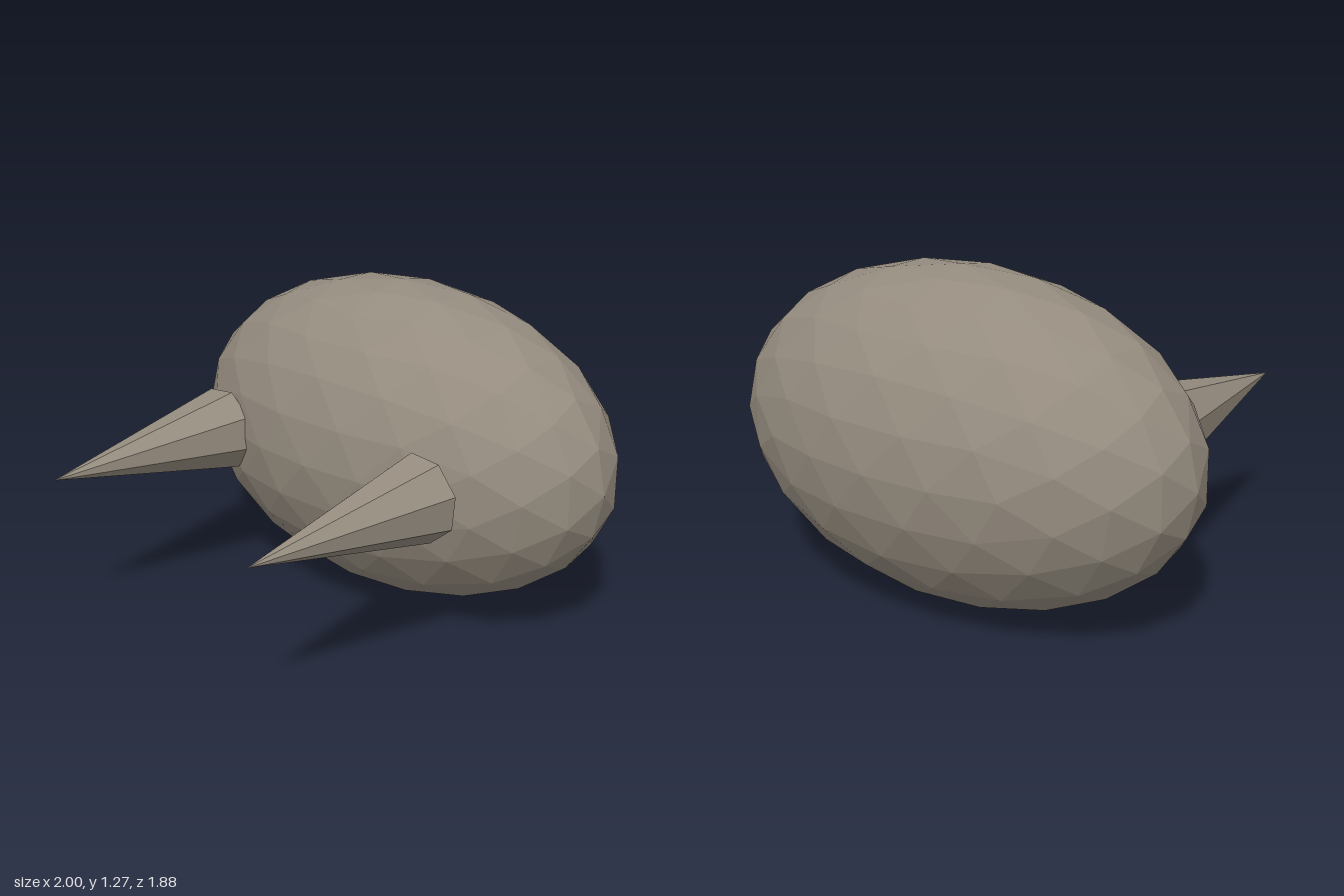
import * as THREE from 'three';

const stone = new THREE.MeshStandardMaterial({ color: 0x958c7f });
stone.name = 'warm grey';
stone.flatShading = true;

const CENTRE_Y = 0.635;

// Faceted ball: each icosahedron edge is halved twice, rounding after each pass
function makeBall() {
  const coarse = new THREE.IcosahedronGeometry(1, 1).getAttribute('position');
  const corners = Array.from(coarse.array);
  const faces = Array.from({ length: coarse.count }, (_, i) => i);
  return new THREE.PolyhedronGeometry(corners, faces, 1, 1);
}

// Eight-sided spike pointing forward, with a closed base
function makeSpike(side) {
  const geometry = new THREE.ConeGeometry(0.17, 0.84, 8).toNonIndexed();
  geometry.rotateX(Math.PI / 2);
  geometry.rotateZ(-side * THREE.MathUtils.degToRad(28));
  geometry.computeVertexNormals();
  const spike = new THREE.Mesh(geometry, stone);
  spike.name = side > 0 ? 'leftSpike' : 'rightSpike';
  spike.position.set(side * 0.54, CENTRE_Y, 0.515);
  return spike;
}

export function createModel() {
  const model = new THREE.Group();
  model.name = 'spikedBoulder';

  // Egg-shaped body
  const ball = makeBall();
  ball.rotateZ(Math.PI / 2);
  ball.scale(1, 0.635, 0.555);
  ball.computeVertexNormals();
  const body = new THREE.Mesh(ball, stone);
  body.name = 'body';
  body.position.set(0, CENTRE_Y, -0.385);
  model.add(body);

  // Pair of mirrored spikes
  for (const side of [-1, 1]) model.add(makeSpike(side));
  return model;
}
